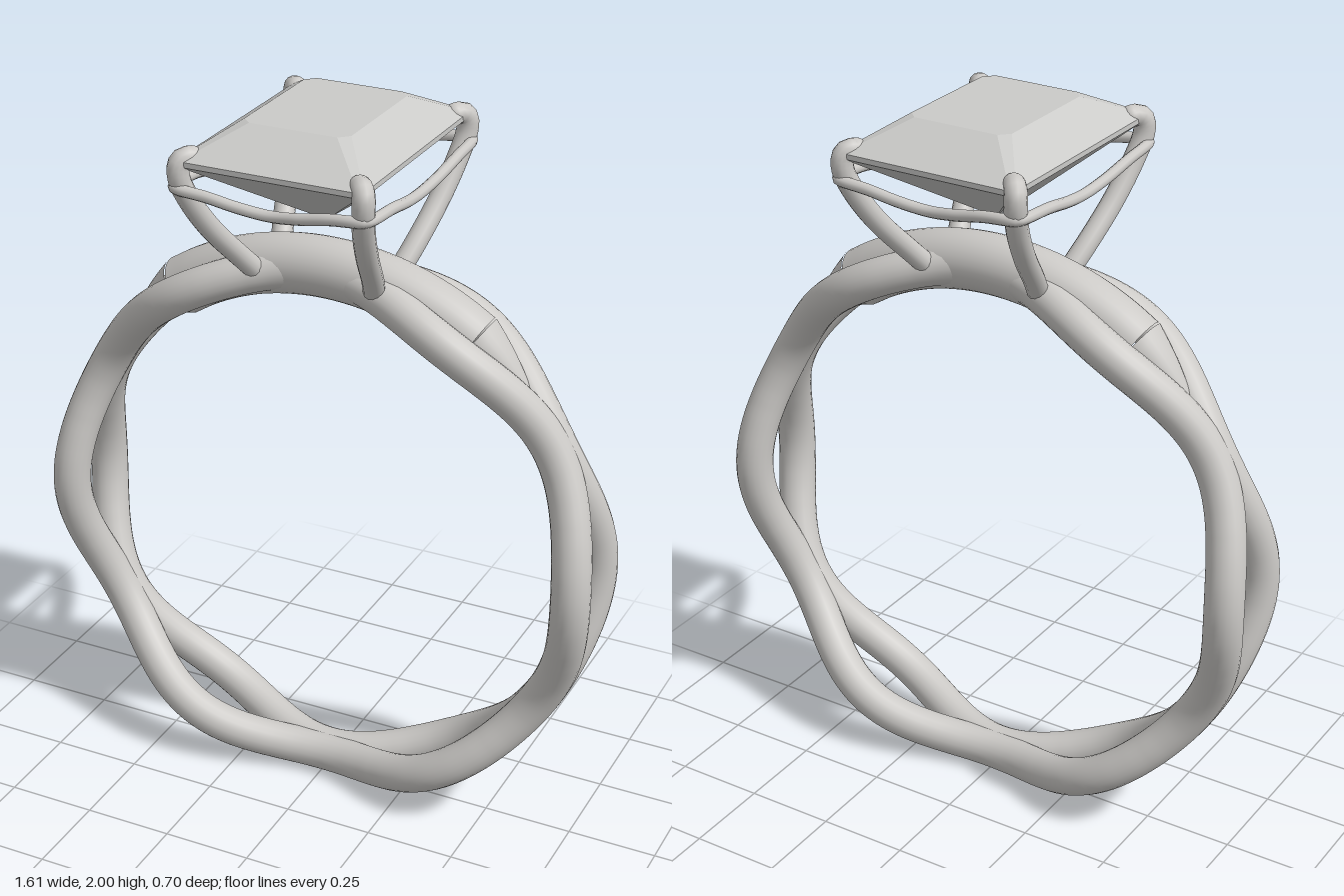
import * as THREE from 'three';
import { ConvexGeometry } from 'three/addons/geometries/ConvexGeometry.js';

const CENTRE_Y = 0.807;   // middle of the band
const BAND_R = 0.752;     // radius of the band's centre line
const V = (x, y, z) => new THREE.Vector3(x, y, z);
const onBand = (deg, z = 0, r = BAND_R) => {
  const a = THREE.MathUtils.degToRad(deg);
  return V(r * Math.cos(a), CENTRE_Y + r * Math.sin(a), z);
};

export function createModel() {
  const metal = new THREE.MeshStandardMaterial({ color: 0xcbc9c6 });
  metal.name = 'metal';
  const stone = new THREE.MeshStandardMaterial({ color: 0xcacac8 });
  stone.name = 'stone';

  const ring = new THREE.Group();
  ring.name = 'ring';
  const add = (name, geometry, material = metal, parent = ring) => {
    const mesh = new THREE.Mesh(geometry, material);
    mesh.name = name;
    parent.add(mesh);
    return mesh;
  };

  // Two mirrored wavy strands that meet every 60 degrees
  for (const side of [1, -1]) {
    const points = [];
    for (let deg = 0; deg < 360; deg += 5) {
      const z = 0.059 + 0.043 * Math.cos(THREE.MathUtils.degToRad(6 * deg));
      points.push(onBand(deg, side * z));
    }
    const path = new THREE.CatmullRomCurve3(points, true);
    add(side > 0 ? 'frontStrand' : 'backStrand', new THREE.TubeGeometry(path, 240, 0.053, 20, true));
  }

  // Thick bridge under the setting, tapering to a point between the strands
  const arc = (from, to) => {
    const points = [];
    for (let i = 0; i <= 12; i++) points.push(onBand(from + (to - from) * i / 12, 0, 0.757));
    return new THREE.CatmullRomCurve3(points);
  };
  add('bridge', new THREE.TubeGeometry(arc(56, 124), 48, 0.081, 28));
  for (const side of [1, -1]) {
    const path = arc(90 - side * 34, 90 - side * 51);
    const steps = 10, sides = 28;
    const geometry = new THREE.TubeGeometry(path, steps, 0.081, sides);
    const position = geometry.attributes.position;
    const p = new THREE.Vector3();
    for (let i = 0; i < position.count; i++) {
      const t = Math.floor(i / (sides + 1)) / steps;
      const c = path.getPointAt(t);
      p.fromBufferAttribute(position, i).sub(c).multiplyScalar(1 - 0.88 * t).add(c);
      position.setXYZ(i, p.x, p.y, p.z);
    }
    geometry.computeVertexNormals();
    add(side > 0 ? 'leftBridgeTaper' : 'rightBridgeTaper', geometry);
  }

  // Four claws, curling over the corners of the stone
  const claws = new THREE.Group();
  claws.name = 'claws';
  ring.add(claws);
  for (const sx of [1, -1]) for (const sz of [1, -1]) {
    const points = [
      [0.165, 1.54, 0.06], [0.19, 1.61, 0.125], [0.219, 1.715, 0.222], [0.24, 1.81, 0.288],
      [0.252, 1.875, 0.316], [0.252, 1.912, 0.316], [0.243, 1.926, 0.305], [0.23, 1.926, 0.289],
    ].map(([x, y, z]) => V(sx * x, y, sz * z));
    add('claw', new THREE.TubeGeometry(new THREE.CatmullRomCurve3(points), 40, 0.029, 14), metal, claws);
    const tip = add('clawTip', new THREE.SphereGeometry(0.029, 16, 12), metal, claws);
    tip.position.copy(points[points.length - 1]);
  }

  // Thin rail joining the claws, sagging at the middle of each side
  const quarter = [
    [0.262, 1.815, 0], [0.268, 1.825, 0.09], [0.274, 1.845, 0.2], [0.268, 1.853, 0.315],
    [0.255, 1.853, 0.33], [0.17, 1.845, 0.33], [0.085, 1.828, 0.322],
  ];
  const reversed = quarter.slice(1).reverse();
  const railPoints = [
    ...quarter.map(([x, y, z]) => V(x, y, z)),
    V(0, 1.817, 0.312),
    ...reversed.map(([x, y, z]) => V(-x, y, z)),
    ...quarter.map(([x, y, z]) => V(-x, y, -z)),
    V(0, 1.817, -0.312),
    ...reversed.map(([x, y, z]) => V(x, y, -z)),
  ];
  add('rail', new THREE.TubeGeometry(new THREE.CatmullRomCurve3(railPoints, true), 200, 0.015, 10, true));

  // Rectangular cut stone: table, girdle band and pointed base
  const cut = [V(0, 1.697, 0)];
  for (const [x, y, z, clip] of [
    [0.147, 2.0, 0.19, 0.026], [0.256, 1.926, 0.332, 0.012], [0.256, 1.912, 0.332, 0.012],
  ]) {
    for (const sx of [1, -1]) for (const sz of [1, -1]) {
      cut.push(V(sx * x, y, sz * (z - clip)), V(sx * (x - clip), y, sz * z));
    }
  }
  add('stone', new ConvexGeometry(cut), stone);

  return ring;
}
